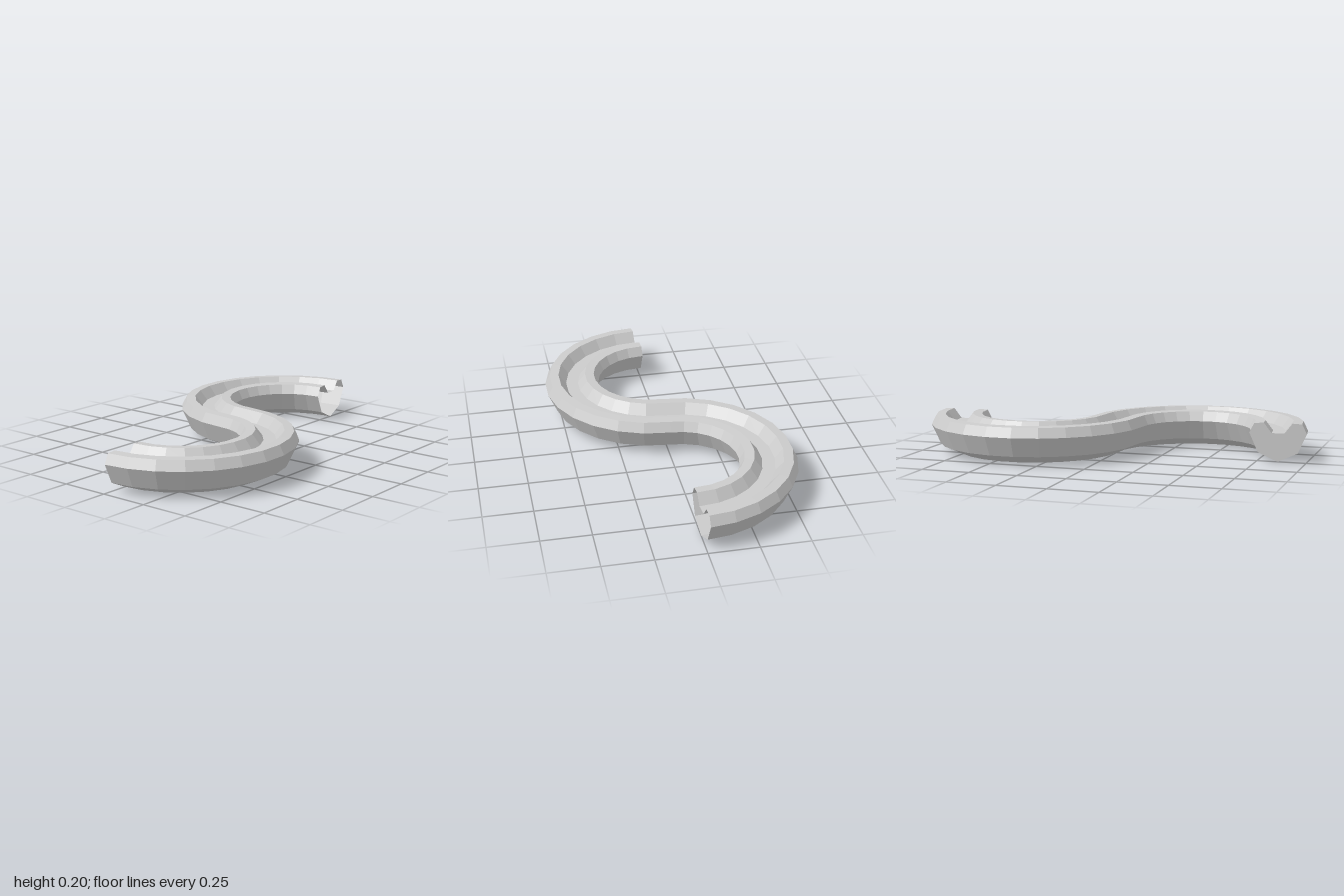
import * as THREE from 'three';

const R = 0.4275;      // centreline radius of both bends
const STEPS = 13;      // segments per bend
const SKEW = 0.08;     // slight turn of the two end sections

// Right half of the grooved channel section (u across, y up), bottom to groove floor
const half = [[0.1, 0.045], [0.145, 0.145], [0.12, 0.194], [0.072, 0.197], [0.032, 0.145]];
const profile = [[0, 0], ...half, ...half.map(([u, y]) => [-u, y]).reverse()];

// Centreline stations: position and across-direction along the S
function stations() {
  const list = [];
  for (const side of [-1, 1]) {
    for (let i = side < 0 ? 0 : 1; i <= STEPS; i++) {
      const t = (i / STEPS) * Math.PI;
      let a = t;
      if (side < 0 && i === 0) a = SKEW;
      if (side > 0 && i === STEPS) a = Math.PI - SKEW;
      list.push({
        x: side * R - R * Math.cos(t),
        z: -side * R * Math.sin(t),
        ux: side * Math.cos(a),
        uz: Math.sin(a),
      });
    }
  }
  return list;
}

function channelGeometry() {
  const path = stations();
  const n = profile.length;
  const positions = [];
  const index = [];
  for (const s of path) {
    for (const [u, y] of profile) positions.push(s.x + s.ux * u, y, s.z + s.uz * u);
  }
  // Swept walls
  for (let i = 0; i < path.length - 1; i++) {
    for (let j = 0; j < n; j++) {
      const a = i * n + j, b = i * n + (j + 1) % n;
      const c = a + n, d = b + n;
      index.push(a, c, b, b, c, d);
    }
  }
  // Closed end on the -x side; the +x end stays open
  const contour = profile.map(([u, y]) => new THREE.Vector2(u, y));
  for (const f of THREE.ShapeUtils.triangulateShape(contour, [])) index.push(...f);

  const geometry = new THREE.BufferGeometry();
  geometry.setAttribute('position', new THREE.Float32BufferAttribute(positions, 3));
  geometry.setIndex(index);
  const flat = geometry.toNonIndexed();
  flat.computeVertexNormals();
  return flat;
}

export function createModel() {
  const group = new THREE.Group();
  group.name = 'curvedChannel';
  const material = new THREE.MeshStandardMaterial({
    color: 0xcccccc, flatShading: true, side: THREE.DoubleSide,
  });
  const channel = new THREE.Mesh(channelGeometry(), material);
  channel.name = 'groovedTrack';
  group.add(channel);
  return group;
}
